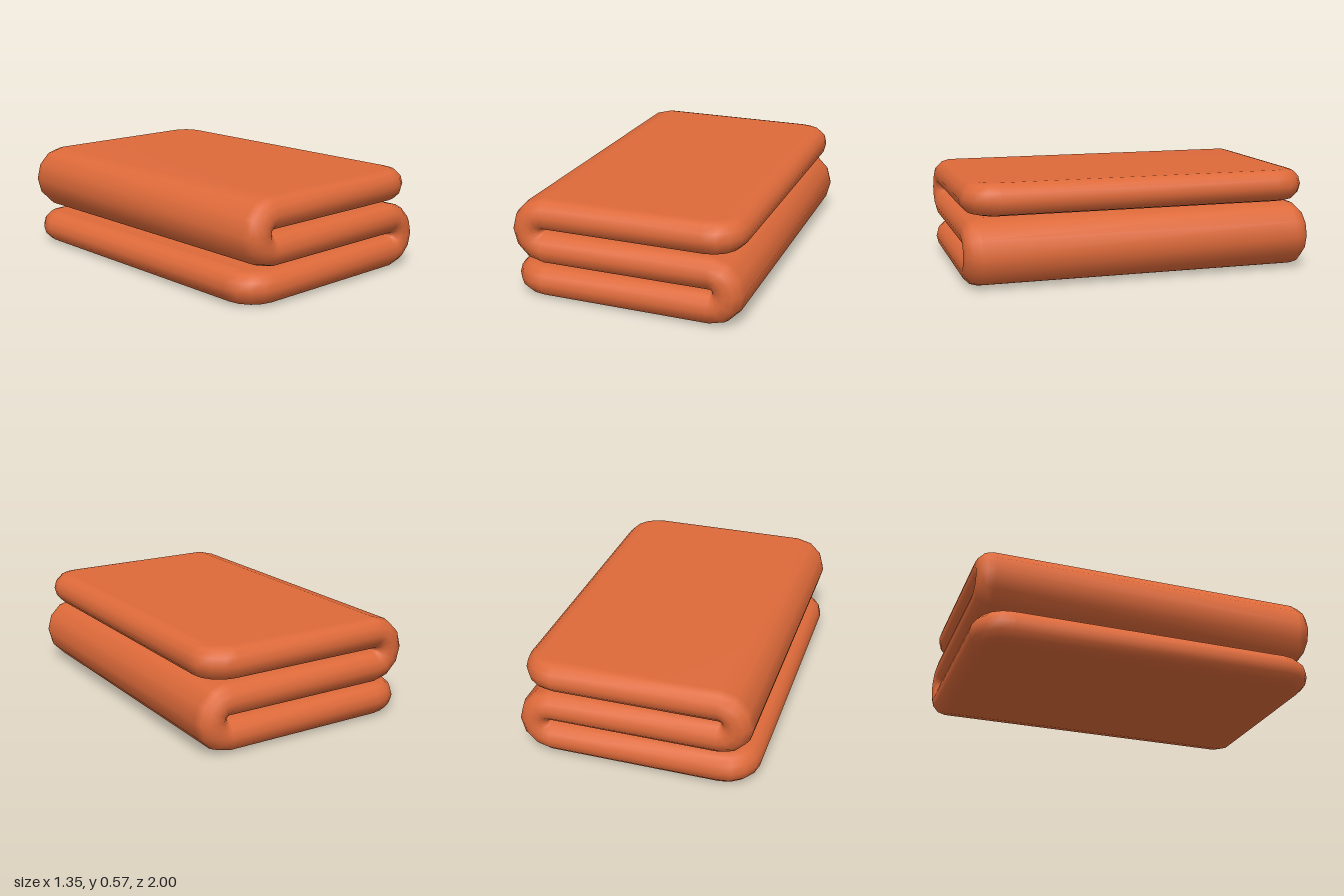
import * as THREE from 'three';

const HALF = 0.09;      // half the cloth thickness, also its edge rounding
const DEPTH = 1;        // half the cloth width along z
const CORNER = 0.2;     // plan radius of the cloth corners
const FOLD = 0.0975;    // centreline radius of each fold
const LOW = 0.09, MID = LOW + 2 * FOLD, TOP = MID + 2 * FOLD;
const X0 = -0.675, FOLD_R = 0.488, FOLD_L = -0.468, X1 = 0.655;
const ARC = Math.PI * FOLD;
// Distances along the cloth at which each fold starts and ends
const A = FOLD_R - X0, B = A + ARC, C = B + FOLD_R - FOLD_L, D = C + ARC;
const LENGTH = D + X1 - FOLD_L;

// Bends the flat cloth (u along, n through the thickness, v across) into an S
function bend(u, n, v) {
  let x, y, th;
  if (u <= A) [x, y, th] = [X0 + u, LOW, 0];
  else if (u < B) {
    th = (u - A) / FOLD;
    x = FOLD_R + FOLD * Math.sin(th);
    y = LOW + FOLD - FOLD * Math.cos(th);
  } else if (u <= C) [x, y, th] = [FOLD_R - (u - B), MID, Math.PI];
  else if (u < D) {
    th = Math.PI - (u - C) / FOLD;
    x = FOLD_L - FOLD * Math.sin(th);
    y = MID + FOLD + FOLD * Math.cos(th);
  } else [x, y, th] = [FOLD_L + (u - D), TOP, 0];
  return [x - n * Math.sin(th), y + n * Math.cos(th), v];
}

// Rounded-rectangle outline of the flat cloth, drawn in by an inset
function outline(inset) {
  const side = [], steps = 4, r = CORNER - inset;
  const corner = (i) => {
    const a = (i / steps) * Math.PI / 2;
    return [CORNER - r * Math.cos(a), DEPTH - CORNER + r * Math.sin(a)];
  };
  for (let i = 0; i <= steps; i++) side.push(corner(i));
  for (const start of [A, C])
    for (let i = 0; i <= 6; i++) side.push([start + ARC * i / 6, DEPTH - inset]);
  for (let i = steps; i >= 0; i--) {
    const [u, v] = corner(i);
    side.push([LENGTH - u, v]);
  }
  return [...side, ...side.map(([u, v]) => [u, -v]).reverse()];
}

function clothGeometry() {
  const rings = 6, pos = [], idx = [];
  let count = 0;
  // Stack outlines around the rounded edge
  for (let j = 0; j <= rings; j++) {
    const phi = (j / rings - 0.5) * Math.PI;
    const ring = outline(HALF * (1 - Math.cos(phi)));
    count = ring.length;
    for (const [u, v] of ring) pos.push(...bend(u, HALF * Math.sin(phi), v));
  }
  const quad = (a, b, c, d) => idx.push(a, b, c, a, c, d);
  for (let j = 0; j < rings; j++)
    for (let i = 0; i < count; i++) {
      const a = j * count + i, b = j * count + (i + 1) % count;
      quad(a, b, b + count, a + count);
    }
  // Upper and lower faces as strips across the cloth
  const t = rings * count;
  for (let i = 0; i < count / 2 - 1; i++) {
    const m = count - 1 - i;
    quad(t + i, t + i + 1, t + m - 1, t + m);
    quad(i, m, m - 1, i + 1);
  }
  const g = new THREE.BufferGeometry();
  g.setAttribute('position', new THREE.Float32BufferAttribute(pos, 3));
  g.setIndex(idx);
  g.computeVertexNormals();
  return g;
}

export function createModel() {
  const terracotta = new THREE.MeshStandardMaterial({ color: 0xde6a3a });
  terracotta.name = 'terracotta cloth';
  const cloth = new THREE.Mesh(clothGeometry(), terracotta);
  cloth.name = 'foldedCloth';
  const group = new THREE.Group();
  group.name = 'foldedTowel';
  group.add(cloth);
  return group;
}
